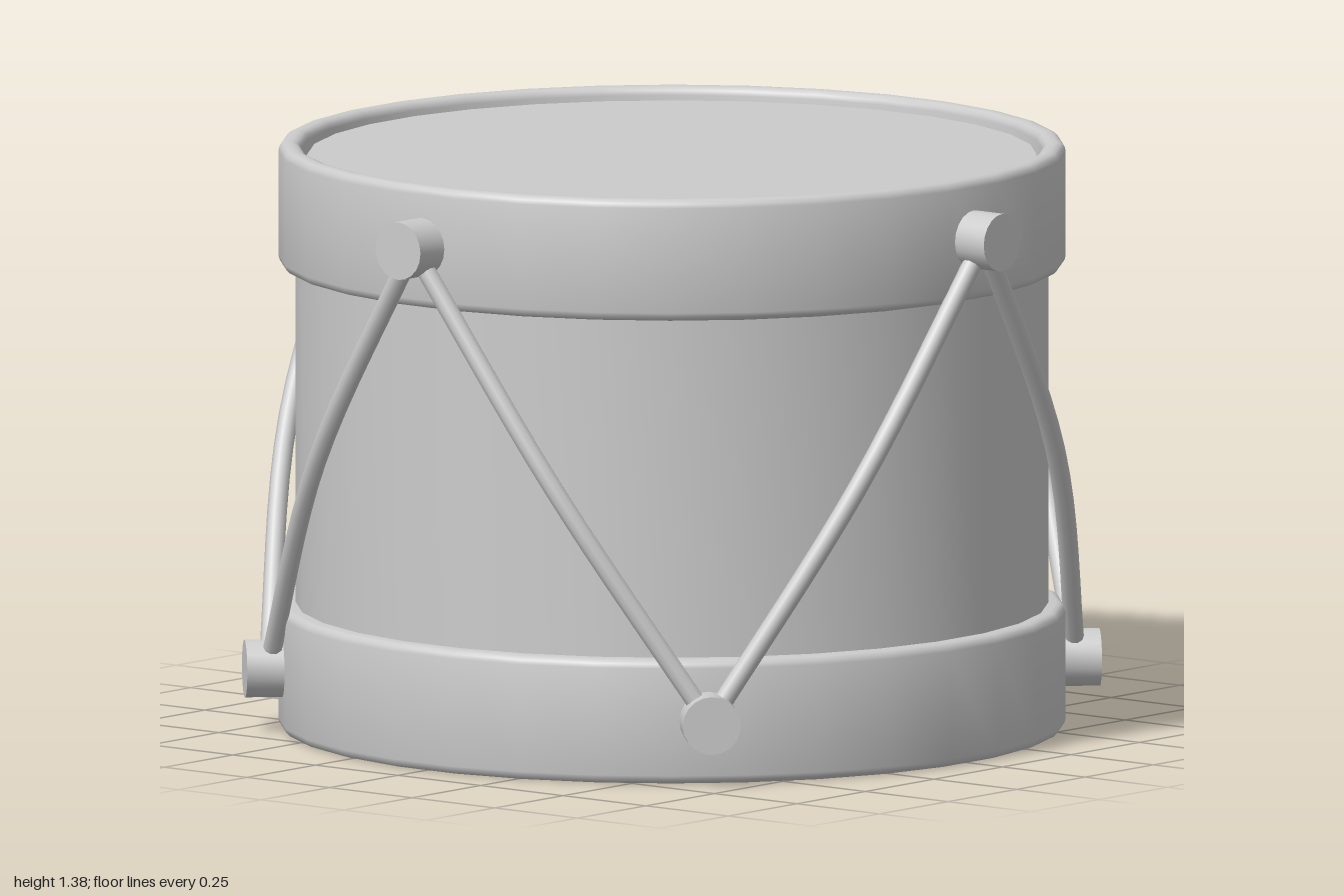
import * as THREE from 'three';
import { toCreasedNormals } from 'three/addons/utils/BufferGeometryUtils.js';

const SIDES = 32;
const material = new THREE.MeshStandardMaterial({ color: 0xcccccc });

function add(parent, name, geometry) {
  const mesh = new THREE.Mesh(geometry, material);
  mesh.name = name;
  parent.add(mesh);
  return mesh;
}

// Round body from [radius, y] points, with flat sides facing the four axes
function turned(points) {
  const k = 1 / Math.cos(Math.PI / SIDES) ** 0.5;
  const profile = points.map(([r, y]) => new THREE.Vector2(r * k, y));
  const lathe = new THREE.LatheGeometry(profile, SIDES, Math.PI / SIDES);
  return toCreasedNormals(lathe, 0.6);
}

// Closed hoop section with rounded corners, listed counter-clockwise
function hoop(inner, outer, bottom, top, bevel) {
  const corners = [
    [inner + bevel, bottom + bevel, Math.PI],
    [outer - bevel, bottom + bevel, Math.PI * 1.5],
    [outer - bevel, top - bevel, 0],
    [inner + bevel, top - bevel, Math.PI / 2],
  ];
  const points = [];
  for (const [r, y, start] of corners) {
    for (let i = 0; i <= 3; i++) {
      const a = start + (i / 3) * Math.PI / 2;
      points.push([r + bevel * Math.cos(a), y + bevel * Math.sin(a)]);
    }
  }
  points.push(points[0]);
  return turned(points);
}

// Point at an angle around the drum, angle 0 at the front
const around = (angle, r, y) =>
  new THREE.Vector3(r * Math.sin(angle), y, r * Math.cos(angle));

export function createModel() {
  const drum = new THREE.Group();
  drum.name = 'drum';

  // Shell, drum head and closed underside
  add(drum, 'shell', turned([[0.875, 0.2], [0.875, 1.2]]));
  add(drum, 'drumHead', turned([[0.84, 1.2], [0.855, 1.21], [0.855, 1.335], [0.848, 1.347], [0, 1.35]]));
  add(drum, 'underside', turned([[0, 0.002], [0.9, 0.002]]));

  // Hoops
  add(drum, 'topHoop', hoop(0.863, 0.915, 1.09, 1.377, 0.02));
  add(drum, 'bottomHoop', hoop(0.8, 0.915, 0, 0.293, 0.02));

  // Pegs, alternating between the top and bottom hoops
  const pegShape = toCreasedNormals(new THREE.CylinderGeometry(0.068, 0.068, 0.13, 20), 0.6);
  pegShape.rotateX(Math.PI / 2);
  const pegs = new THREE.Group();
  pegs.name = 'pegs';
  const ropes = new THREE.Group();
  ropes.name = 'ropes';
  drum.add(pegs, ropes);

  const pegHeight = (i) => (i % 2 === 0 ? 1.235 : 0.15);
  for (let i = 0; i < 8; i++) {
    const a = (i * Math.PI) / 4;
    const peg = add(pegs, i % 2 === 0 ? 'topPeg' : 'bottomPeg', pegShape);
    peg.position.copy(around(a, 0.935, pegHeight(i)));
    peg.rotation.y = a;

    // Rope from this peg to the next, bowed around the shell
    const path = new THREE.CatmullRomCurve3([
      around(a, 0.945, pegHeight(i)),
      around(a + Math.PI / 8, 0.935, 0.6925),
      around(a + Math.PI / 4, 0.945, pegHeight(i + 1)),
    ]);
    add(ropes, 'rope', new THREE.TubeGeometry(path, 16, 0.023, 10));
  }
  return drum;
}
